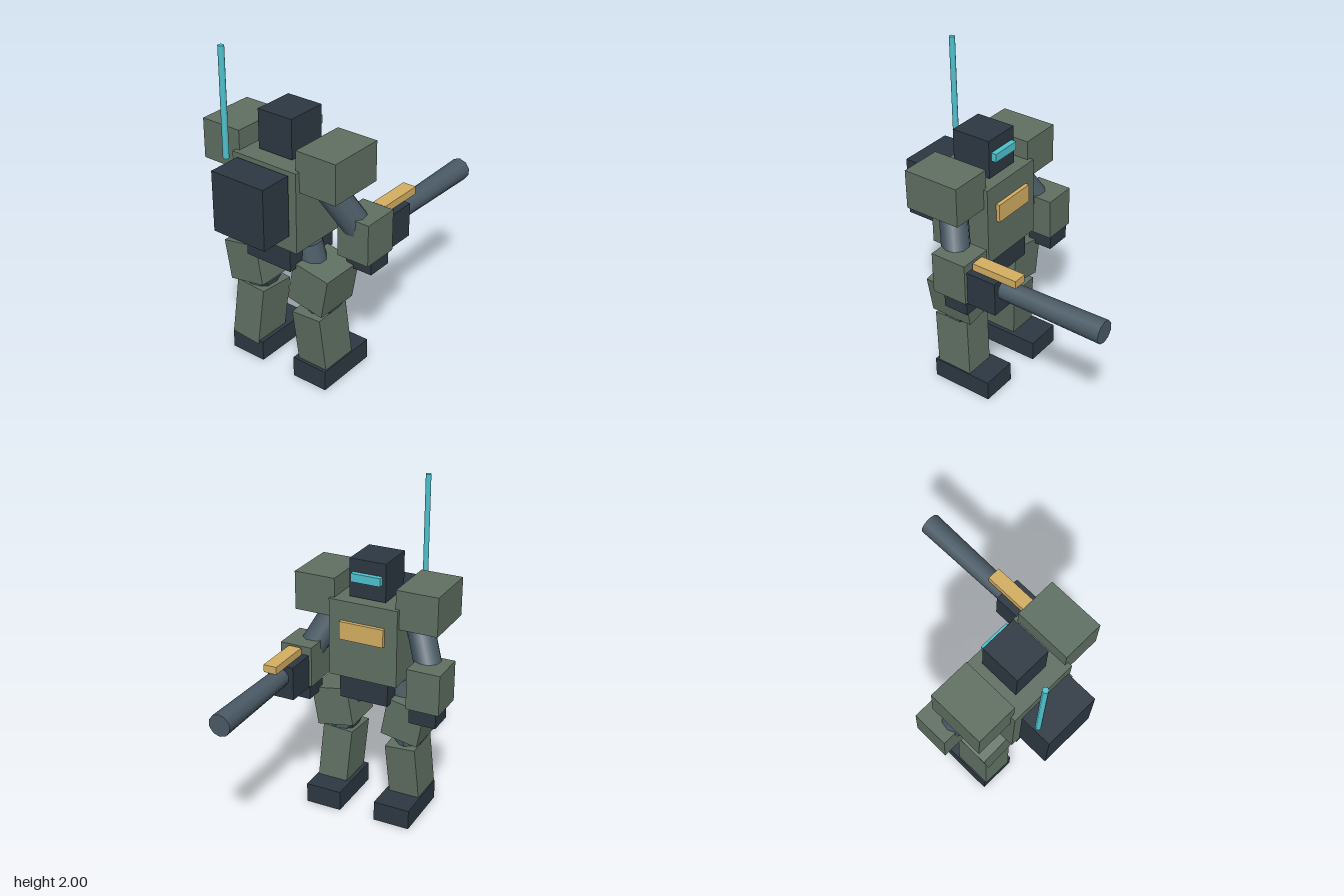
import * as THREE from 'three';

const mat = (color, flatShading = false) => new THREE.MeshStandardMaterial({ color, flatShading });
const GREEN = mat(0x5f6f62), DARK = mat(0x2d3842), STEEL = mat(0x4a5a66);
const JOINT = mat(0x4a5a66, true), CYAN = mat(0x4fc3cf), YELLOW = mat(0xd4ae62);

export function createModel() {
  const model = new THREE.Group();
  model.name = 'robot';

  const add = (name, geometry, material, x, y, z) => {
    const mesh = new THREE.Mesh(geometry, material);
    mesh.name = name;
    mesh.position.set(x, y, z);
    model.add(mesh);
    return mesh;
  };
  // Box given by its extents along each axis
  const box = (name, material, [x0, x1], [y0, y1], [z0, z1]) =>
    add(name, new THREE.BoxGeometry(x1 - x0, y1 - y0, z1 - z0), material,
      (x0 + x1) / 2, (y0 + y1) / 2, (z0 + z1) / 2);
  // Cylinder running from point a to point b
  const rod = (name, material, a, b, ra, rb, sides = 10) => {
    const from = new THREE.Vector3(...a), to = new THREE.Vector3(...b);
    const dir = to.clone().sub(from);
    const mid = from.clone().add(to).multiplyScalar(0.5);
    const mesh = add(name, new THREE.CylinderGeometry(rb, ra, dir.length(), sides), material, mid.x, mid.y, mid.z);
    mesh.quaternion.setFromUnitVectors(new THREE.Vector3(0, 1, 0), dir.normalize());
    return mesh;
  };
  const joint = (name, r, x, y, z) => add(name, new THREE.IcosahedronGeometry(r, 0), JOINT, x, y, z);

  // Body
  box('torso', GREEN, [-0.215, 0.215], [0.885, 1.36], [0.138, 0.542]);
  box('pelvis', DARK, [-0.153, 0.153], [0.74, 0.9], [0.155, 0.523]);
  box('chestPanel', YELLOW, [-0.138, 0.138], [1.13, 1.24], [0.115, 0.15]);
  box('rearPanel', YELLOW, [-0.138, 0.138], [1.13, 1.24], [0.53, 0.555]);
  box('backpack', DARK, [-0.174, 0.174], [0.985, 1.34], [0.553, 0.75]);
  rod('antenna', CYAN, [-0.158, 1.38, 0.652], [-0.158, 2, 0.652], 0.017, 0.017, 8);

  // Head
  box('head', DARK, [-0.113, 0.113], [1.37, 1.6], [0.2, 0.447]);
  box('visor', CYAN, [-0.092, 0.092], [1.472, 1.522], [0.168, 0.21]);

  for (const s of [-1, 1]) {
    const side = s > 0 ? 'left' : 'right';
    const span = (a, b) => (s > 0 ? [a, b] : [-b, -a]);

    // Arm
    box(side + 'Shoulder', GREEN, span(0.192, 0.448), [1.24, 1.475], [0.163, 0.513]);
    joint(side + 'ShoulderJoint', 0.125, s * 0.29, 1.28, 0.34);
    rod(side + 'UpperArm', STEEL, [s * 0.25, 1.25, 0.355], [s * 0.41, 0.92, 0.205], 0.083, 0.083);
    box(side + 'Forearm', GREEN, span(0.303, 0.505), [0.8, 1.05], [0.08, 0.305]);
    box(side + 'Hand', DARK, span(0.32, 0.485), [0.71, 0.85], [0.088, 0.245]);

    // Leg: the shins lean opposite ways in a slight stride
    rod(side + 'ThighBone', STEEL, [s * 0.13, 0.835, 0.342], [s * 0.24, 0.47, 0.342], 0.083, 0.083);
    const thigh = add(side + 'Thigh', new THREE.BoxGeometry(0.237, 0.242, 0.277), GREEN, s * 0.23, 0.63, 0.338);
    thigh.rotation.z = -s * 0.175;
    joint(side + 'Knee', 0.115, s * 0.225, 0.49, 0.335);
    const shin = add(side + 'Shin', new THREE.BoxGeometry(0.193, 0.36, 0.235), GREEN, s * 0.226, 0.28, 0.34);
    shin.rotation.set(s * 0.08, 0, s * 0.07);
    box(side + 'Foot', DARK, span(0.115, 0.342), [0, 0.125], [0.07, 0.465]);
  }

  // Hand-held cannon on the left arm
  box('cannonBody', DARK, [0.32, 0.485], [0.795, 1.0], [-0.108, 0.085]);
  rod('cannonBarrel', STEEL, [0.403, 0.925, -0.09], [0.403, 0.925, -0.75], 0.057, 0.067);
  box('cannonRail', YELLOW, [0.363, 0.445], [0.998, 1.044], [-0.218, 0.07]);

  return model;
}
